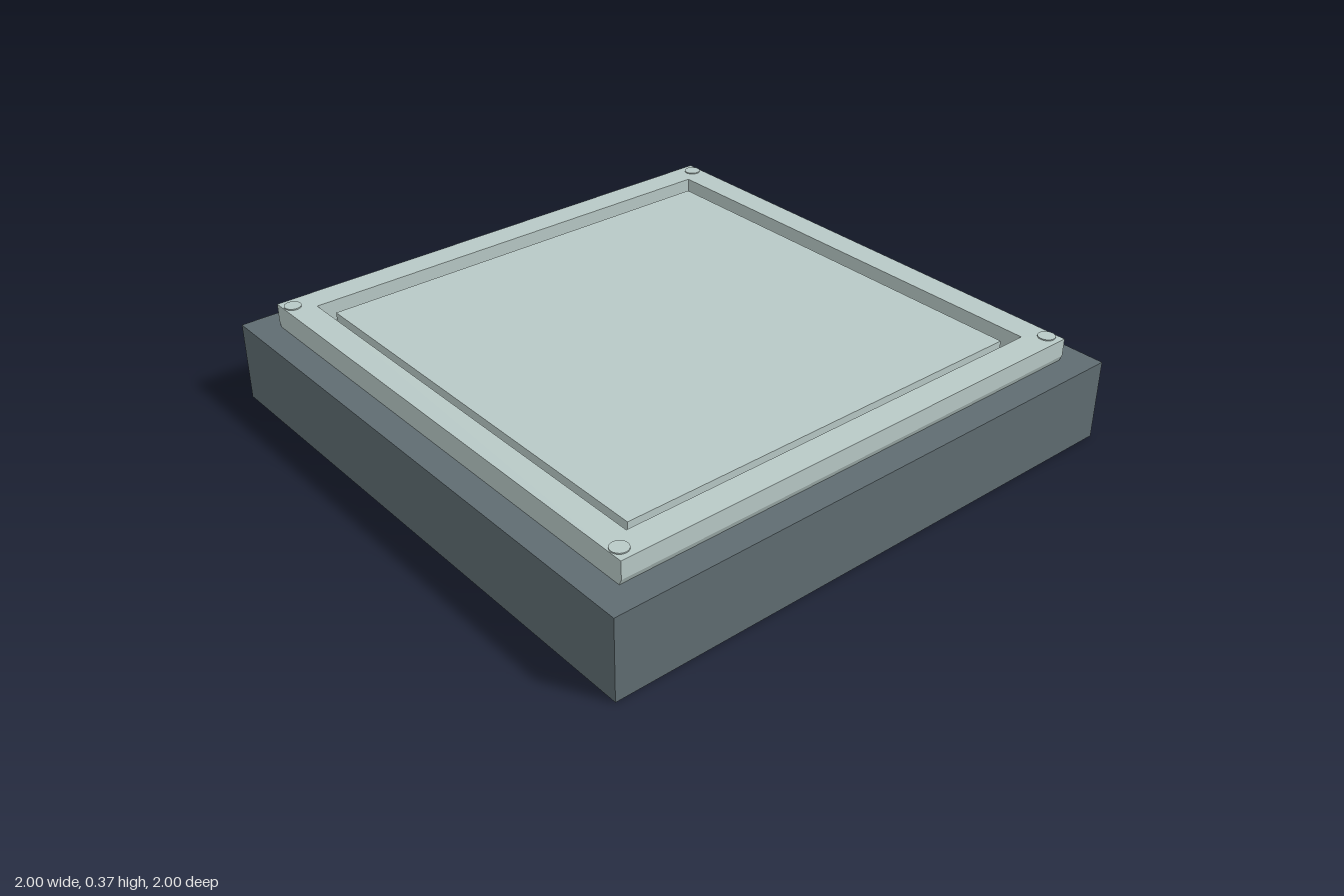
import * as THREE from 'three';

export function createModel() {
  const model = new THREE.Group();
  const slate = new THREE.MeshStandardMaterial({ color: 0x5f6c71 });
  slate.name = 'slate';
  const paleGreen = new THREE.MeshStandardMaterial({ color: 0xb8c9c6 });
  paleGreen.name = 'paleGreen';

  const add = (name, geometry, material, x, y, z) => {
    const mesh = new THREE.Mesh(geometry, material);
    mesh.name = name;
    mesh.position.set(x, y, z);
    model.add(mesh);
  };
  const rectangle = (Type, hx, hz) => {
    const p = new Type();
    p.moveTo(-hx, -hz).lineTo(hx, -hz).lineTo(hx, hz).lineTo(-hx, hz).closePath();
    return p;
  };

  const baseTop = 0.28, rimTop = 0.362;

  // Heavy square base
  add('base', new THREE.BoxGeometry(2, baseTop, 2), slate, 0, baseTop / 2, 0);

  // Raised rim with a square opening, slightly undercut at front and back
  const outline = rectangle(THREE.Shape, 0.905, 0.912);
  outline.holes.push(rectangle(THREE.Path, 0.81, 0.815));
  const rim = new THREE.ExtrudeGeometry(outline, { depth: rimTop - baseTop, steps: 4, bevelEnabled: false });
  rim.rotateX(-Math.PI / 2);
  const p = rim.attributes.position;
  for (let i = 0; i < p.count; i++) {
    if (p.getY(i) < 0.01 && Math.abs(p.getZ(i)) > 0.9) p.setZ(i, p.getZ(i) * 0.99);
  }
  rim.computeVertexNormals();
  add('rim', rim, paleGreen, 0, baseTop, 0);

  // Floor of the narrow groove, and the panel standing inside it
  add('grooveFloor', new THREE.BoxGeometry(1.62, 0.01, 1.63), paleGreen, 0, baseTop + 0.005, 0);
  add('panel', new THREE.BoxGeometry(1.536, 0.055, 1.536), paleGreen, 0, 0.3145, 0);

  // Low studs on the rim corners
  for (const x of [-1, 1]) {
    for (const z of [-1, 1]) {
      add('cornerStud', new THREE.CylinderGeometry(0.029, 0.029, 0.006, 20), paleGreen, x * 0.873, rimTop + 0.001, z * 0.865);
    }
  }
  return model;
}
